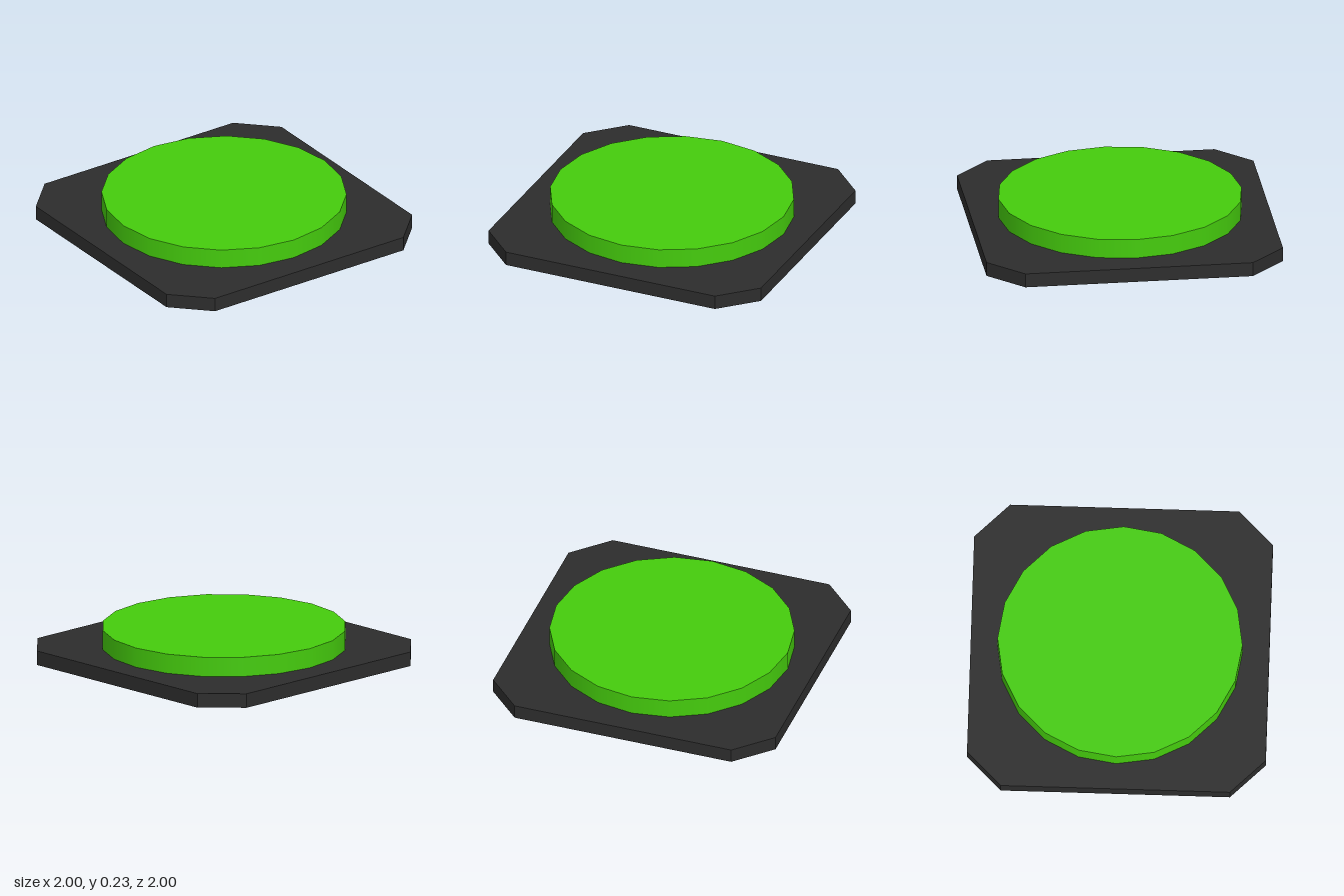
import * as THREE from 'three';

const BASE_HEIGHT = 0.097;
const TOP = 0.23;

// Square plate with chamfered corners, standing on y = 0
function createBase() {
  const h = 1, c = 0.767;
  const outline = new THREE.Shape([
    [c, -h], [h, -c], [h, c], [c, h], [-c, h], [-h, c], [-h, -c], [-c, -h],
  ].map(([x, y]) => new THREE.Vector2(x, y)));
  const geometry = new THREE.ExtrudeGeometry(outline, { depth: BASE_HEIGHT, bevelEnabled: false });
  geometry.rotateX(-Math.PI / 2);
  const base = new THREE.Mesh(geometry, new THREE.MeshStandardMaterial({ color: 0x2d2d2d }));
  base.name = 'basePlate';
  return base;
}

// Round 20-sided button with smooth sides
function createButton() {
  const height = TOP - BASE_HEIGHT;
  const geometry = new THREE.CylinderGeometry(0.82, 0.82, height, 20);
  geometry.translate(0, BASE_HEIGHT + height / 2, 0);
  const button = new THREE.Mesh(geometry, new THREE.MeshStandardMaterial({ color: 0x45cc0d }));
  button.name = 'button';
  return button;
}

export function createModel() {
  const model = new THREE.Group();
  model.name = 'floorButton';
  model.add(createBase(), createButton());
  return model;
}
